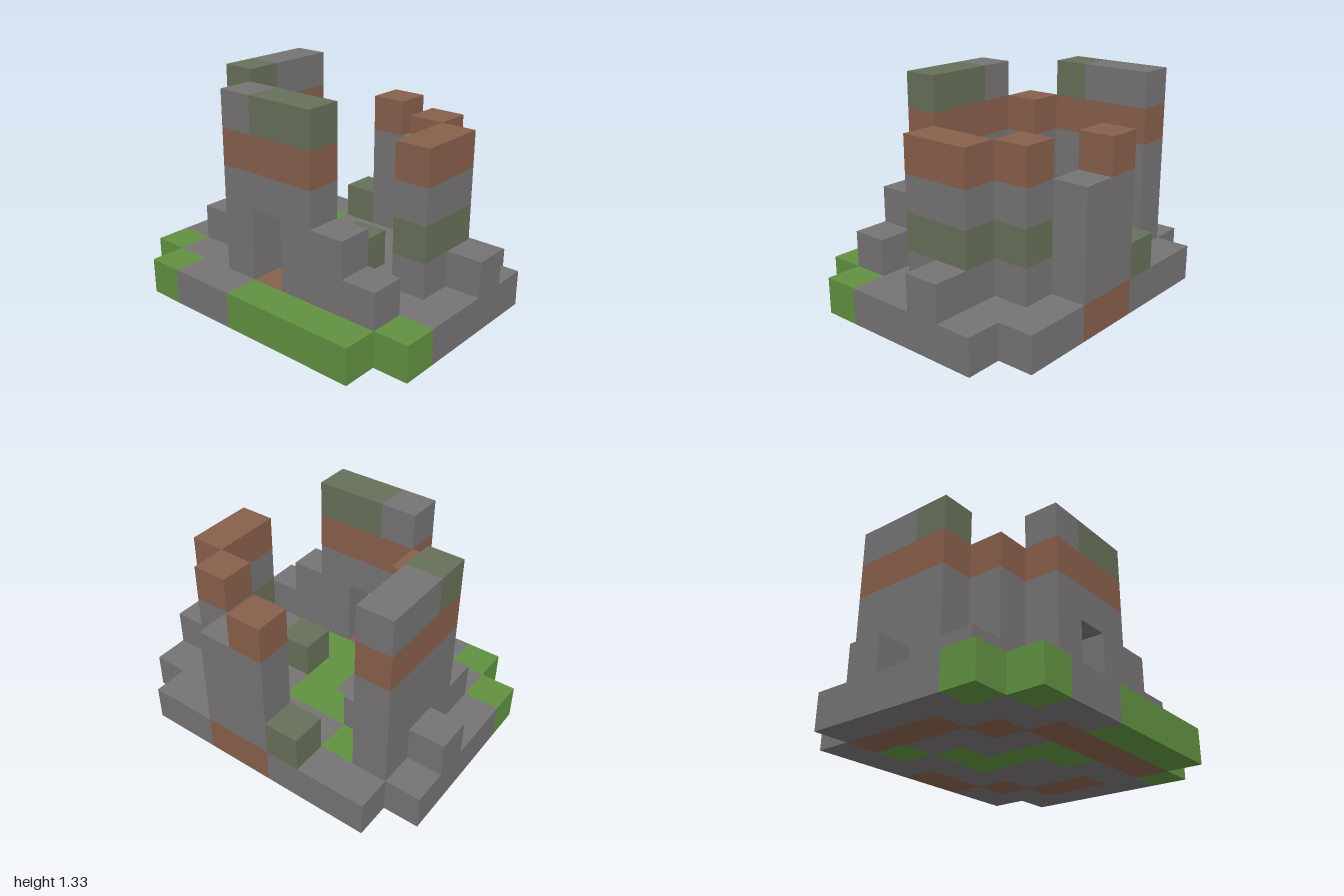
import * as THREE from 'three';

const U = 2 / 9; // one block

export function createModel() {
  const model = new THREE.Group();
  model.name = 'ruinedCastle';

  const mat = (name, color) => {
    const m = new THREE.MeshStandardMaterial({ color });
    m.name = name;
    return m;
  };
  const stone = mat('stone', 0x757374);
  const moss = mat('mossyStone', 0x666f58);
  const brick = mat('brownBrick', 0x875f4b);
  const grass = mat('grass', 0x609040);

  // Box filling columns c0..c1 (x), rows r0..r1 (z) and layers l0..l1 (y), inclusive
  const block = (parent, name, material, [c0, c1], [r0, r1], [l0, l1]) => {
    const geo = new THREE.BoxGeometry((c1 - c0 + 1) * U, (l1 - l0 + 1) * U, (r1 - r0 + 1) * U);
    const mesh = new THREE.Mesh(geo, material);
    mesh.position.set(((c0 + c1) / 2 - 3) * U, ((l0 + l1 + 1) / 2) * U, ((r0 + r1) / 2 - 4) * U);
    mesh.name = name;
    parent.add(mesh);
  };
  const part = (name) => {
    const g = new THREE.Group();
    g.name = name;
    model.add(g);
    return g;
  };

  // Ground slab: one string per row, from back to front
  const ground = part('ground');
  const kinds = { s: ['groundStone', stone], g: ['groundGrass', grass], b: ['groundBrick', brick] };
  [
    '.gssss.',
    'gssbbbs',
    'ssbssgs',
    'sbssgss',
    'gbgggsb',
    'gbgsssb',
    'gbsssbs',
    'gbsbbss',
    '.gssss.',
  ].forEach((row, r) => {
    for (let c = 0; c < row.length;) {
      let end = c;
      while (row[end + 1] === row[c]) end++;
      if (row[c] !== '.') block(ground, ...kinds[row[c]], [c, end], [r, r], [0, 0]);
      c = end + 1;
    }
  });

  // Back wall with its brick band and battlement
  const back = part('backWall');
  block(back, 'backWallBody', stone, [3, 5], [1, 1], [1, 3]);
  block(back, 'backWallBand', brick, [3, 5], [1, 1], [4, 4]);
  block(back, 'backWallMossTop', moss, [3, 3], [1, 1], [5, 5]);
  block(back, 'backWallTop', stone, [4, 5], [1, 1], [5, 5]);

  // Side wall with a doorway two blocks high
  const side = part('sideWall');
  for (const r of [3, 5]) block(side, 'doorJamb', stone, [1, 1], [r, r], [1, 2]);
  block(side, 'doorLintel', stone, [1, 1], [3, 5], [3, 3]);
  block(side, 'sideWallBand', brick, [1, 1], [3, 5], [4, 4]);
  block(side, 'sideWallTop', stone, [1, 1], [3, 3], [5, 5]);
  block(side, 'sideWallMossTop', moss, [1, 1], [4, 5], [5, 5]);

  // Stair descending to the front
  const stair = part('stair');
  block(stair, 'upperStep', stone, [1, 1], [6, 6], [1, 2]);
  block(stair, 'lowerStep', stone, [1, 1], [7, 7], [1, 1]);

  // Front walls with a mossy band and brick tops
  [['frontWall', [3, 4], [7, 7]], ['cornerTower', [5, 5], [6, 6]]].forEach(([name, c, r]) => {
    const g = part(name);
    block(g, name + 'Foot', stone, c, r, [1, 1]);
    block(g, name + 'MossBand', moss, c, r, [2, 2]);
    block(g, name + 'Body', stone, c, r, [3, 3]);
    block(g, name + 'Top', brick, c, r, [4, 4]);
  });

  // Back corner tower and broken left wall
  const rear = part('rearTower');
  block(rear, 'rearTowerBody', stone, [2, 2], [2, 2], [1, 3]);
  block(rear, 'rearTowerTop', brick, [2, 2], [2, 2], [4, 4]);
  const left = part('leftWall');
  block(left, 'leftWallBody', stone, [6, 6], [4, 5], [1, 3]);
  block(left, 'leftWallTop', brick, [6, 6], [4, 4], [4, 4]);

  // Loose fallen blocks
  const rubble = part('rubble');
  [[4, 0], [2, 1], [4, 2], [4, 8]].forEach(([c, r]) => block(rubble, 'stoneRubble', stone, [c, c], [r, r], [1, 1]));
  [[6, 3], [3, 5]].forEach(([c, r]) => block(rubble, 'mossyRubble', moss, [c, c], [r, r], [1, 1]));

  return model;
}
